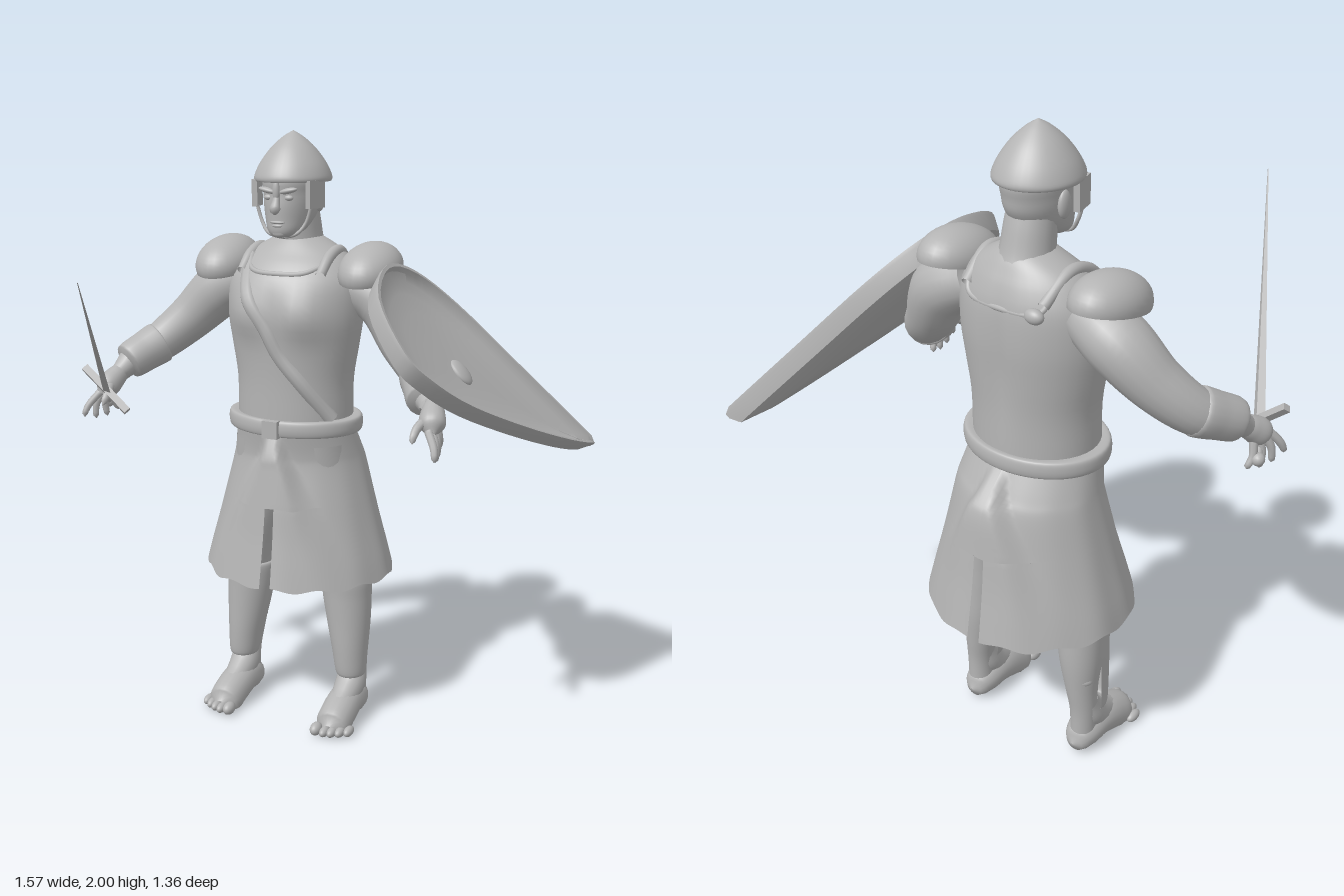
import * as THREE from 'three';
import { mergeVertices, toCreasedNormals } from 'three/addons/utils/BufferGeometryUtils.js';

const V = (x, y, z) => new THREE.Vector3(x, y, z);
const TAU = Math.PI * 2;

// Catmull-Rom sample of rows of numbers, t in 0..1
function sample(rows, t) {
  const n = rows.length - 1, f = Math.min(t, 0.99999) * n, i = Math.floor(f), k = f - i;
  const r = j => rows[Math.max(0, Math.min(n, j))];
  return rows[i].map((_, c) => {
    const a = r(i - 1)[c], b = r(i)[c], d = r(i + 1)[c], e = r(i + 2)[c];
    return b + 0.5 * k * (d - a + k * (2 * a - 5 * b + 4 * d - e + k * (3 * (b - d) + e - a)));
  });
}

// Surface from a grid of points given by fn(row, column)
function grid(nr, nc, fn) {
  const pos = [], idx = [];
  for (let i = 0; i <= nr; i++) for (let j = 0; j <= nc; j++) {
    pos.push(...fn(i / nr, j / nc));
    const a = i * (nc + 1) + j, b = a + nc + 1;
    if (i < nr && j < nc) idx.push(a, a + 1, b, a + 1, b + 1, b);
  }
  const g = new THREE.BufferGeometry();
  g.setAttribute('position', new THREE.Float32BufferAttribute(pos, 3));
  g.setIndex(idx);
  const m = mergeVertices(g, 1e-5);
  m.computeVertexNormals();
  return m;
}

// Stacked ellipses, bottom to top: rows of [y, rx, rz, cx, cz]
function loft(rows, { a0 = 0, a1 = TAU, nr = 32, nc = 40, deform = p => p } = {}) {
  return grid(nr, nc, (u, v) => {
    const [y, rx, rz, cx, cz] = sample(rows, u), a = a0 + (a1 - a0) * v;
    return deform([cx + rx * Math.sin(a), y, cz + rz * Math.cos(a)]);
  });
}

// Tube of varying radius along points [x, y, z, r]
function limb(pts, { n = 24, seg = 18, floor = -1 } = {}) {
  const curve = new THREE.CatmullRomCurve3(pts.map(p => V(p[0], p[1], p[2])));
  const g = new THREE.TubeGeometry(curve, n, 1, seg, false), p = g.attributes.position, q = V();
  for (let i = 0; i < p.count; i++) {
    const t = Math.floor(i / (seg + 1)) / n, u = curve.getUtoTmapping(t), c = curve.getPoint(u);
    const r = Math.max(0.0005, sample(pts, u)[3]);
    q.fromBufferAttribute(p, i).sub(c).multiplyScalar(r).add(c);
    p.setXYZ(i, q.x, Math.max(floor, q.y), q.z);
  }
  g.deleteAttribute('uv');
  g.deleteAttribute('normal');
  const m = mergeVertices(g, 1e-5);
  m.computeVertexNormals();
  return m;
}

export function createModel() {
  const model = new THREE.Group();
  const grey = new THREE.MeshStandardMaterial({ color: 0xb4b4b4, side: THREE.DoubleSide });
  grey.name = 'plain grey';
  const body = new THREE.Group();
  body.name = 'warrior';
  body.position.x = -0.1435;
  model.add(body);
  const add = (name, geo, parent = body) => {
    const m = new THREE.Mesh(geo, grey);
    m.name = name;
    parent.add(m);
    return m;
  };
  const ball = (name, x, y, z, sx, sy, sz, rz = 0) => {
    const m = add(name, new THREE.SphereGeometry(1, 24, 16));
    m.position.set(x, y, z);
    m.scale.set(sx, sy, sz);
    m.rotation.z = rz;
    return m;
  };

  // Torso with chest muscles and a spine groove
  const torso = [[1.03, 0.198, 0.165, 0, -0.295], [1.1, 0.199, 0.165, 0, -0.295], [1.21, 0.2, 0.165, 0, -0.295],
    [1.32, 0.218, 0.17, 0, -0.295], [1.42, 0.232, 0.175, 0, -0.295], [1.52, 0.228, 0.165, 0, -0.3],
    [1.58, 0.198, 0.138, 0, -0.31], [1.62, 0.16, 0.108, 0, -0.32], [1.65, 0.11, 0.085, 0, -0.325], [1.67, 0.07, 0.065, 0, -0.325]];
  const bump = (d, w) => Math.exp(-d * d / (w * w));
  const shape = ([x, y, z]) => {
    const d = z > -0.295 ? 0.025 * bump(Math.abs(x) - 0.1, 0.07) * bump(y - 1.43, 0.075)
      : 0.016 * bump(x, 0.03) * bump(y - 1.35, 0.2);
    return [x, y, z + d];
  };
  add('torso', loft(torso, { deform: shape }));
  const onTorso = (x, y, side) => {
    let t = 0;
    while (t < 1 && sample(torso, t)[0] < y) t += 0.005;
    const [, rx, rz, , cz] = sample(torso, t);
    return shape([x, y, cz + side * rz * Math.sqrt(Math.max(0.02, 1 - (x / rx) ** 2))])[2];
  };
  const cord = (name, pts, side, r, sink) =>
    add(name, limb(pts.map(([x, y]) => [x, y, onTorso(x, y, side) - side * sink, r]), { n: 40, seg: 10 }));
  cord('chestStrap', [[-0.14, 1.6], [-0.087, 1.475], [-0.024, 1.385], [0.019, 1.3], [0.088, 1.21], [0.167, 1.09]], 1, 0.026, 0.012);
  cord('necklineFront', [[-0.15, 1.6], [-0.09, 1.565], [0, 1.56], [0.09, 1.565], [0.15, 1.6]], 1, 0.009, 0.003);
  cord('necklineBack', [[-0.14, 1.6], [-0.12, 1.54], [0, 1.53], [0.12, 1.54], [0.14, 1.6]], -1, 0.009, 0.003);
  ball('strapKnot', -0.12, 1.54, -0.455, 0.03, 0.022, 0.02);

  // Belt and buckle
  add('belt', loft([[1.035, 0.205, 0.165, 0, -0.295], [1.036, 0.228, 0.178, 0, -0.295], [1.06, 0.234, 0.183, 0, -0.295],
    [1.086, 0.228, 0.178, 0, -0.295], [1.087, 0.198, 0.16, 0, -0.295]], { nc: 48 }));
  add('buckle', new THREE.BoxGeometry(0.055, 0.058, 0.025)).position.set(0, 1.061, -0.11);

  // Skirt halves, slit in front and behind: [y, rx, side depth, panel depth, centre z, panel half width]
  const skirt = [[0.535, 0.33, 0.288, 0.304, -0.33, 0.24], [0.6, 0.315, 0.268, 0.292, -0.33, 0.21], [0.7, 0.288, 0.242, 0.274, -0.33, 0.165],
    [0.8, 0.262, 0.22, 0.26, -0.33, 0.12], [0.92, 0.232, 0.195, 0.243, -0.33, 0.065], [0.97, 0.22, 0.182, 0.225, -0.32, 0.04],
    [1.045, 0.203, 0.167, 0.168, -0.295, 0.02]];
  for (const h of [0, 1]) {
    add('skirtHalf', grid(37, 64, (u, v) => {
      const i = Math.round(u * 37), t = (i > 18 ? i - 1 : i) / 36;
      const gap = i <= 18 ? 0.06 : 0;
      const start = (h ? Math.PI + 0.06 : 0.05) + gap, end = (h ? TAU + 0.05 : Math.PI + 0.06) - gap;
      const [y, rx, side, panel, cz, w] = sample(skirt, t), a = start + (end - start) * v;
      const x = rx * Math.sin(a), k = 1 - THREE.MathUtils.smoothstep(Math.abs(x), w * 0.7, w * 1.3);
      const f = 1 + 0.008 * (1 - t) * Math.sin(a * 9);
      return [x * f, y + 0.006 * (1 - t) * Math.sin(a * 13), cz + (side + (panel - side) * k) * f * Math.cos(a)];
    }));
  }

  // Neck, head and face
  add('neck', limb([[0, 1.56, -0.345, 0.1], [0, 1.64, -0.33, 0.08], [0, 1.72, -0.315, 0.073], [0, 1.78, -0.3, 0.07]]));
  add('head', loft([[1.672, 0.001, 0.001, 0, -0.205], [1.677, 0.034, 0.036, 0, -0.207], [1.695, 0.058, 0.07, 0, -0.23],
    [1.73, 0.074, 0.098, 0, -0.257], [1.77, 0.084, 0.114, 0, -0.272], [1.81, 0.089, 0.117, 0, -0.278],
    [1.86, 0.09, 0.118, 0, -0.28], [1.92, 0.05, 0.07, 0, -0.28]]));
  add('nose', limb([[0, 1.815, -0.165, 0.01], [0, 1.785, -0.155, 0.013], [0, 1.76, -0.148, 0.017], [0, 1.75, -0.156, 0.005]], { n: 12, seg: 10 }));
  ball('upperLip', 0, 1.722, -0.166, 0.026, 0.006, 0.012);
  ball('lowerLip', 0, 1.711, -0.168, 0.021, 0.007, 0.012);
  ball('chin', 0, 1.688, -0.178, 0.026, 0.016, 0.016);

  // Pointed helmet with rim
  add('helmet', loft([[1.845, 0.112, 0.122, 0, -0.277], [1.846, 0.121, 0.13, 0, -0.277], [1.862, 0.122, 0.131, 0, -0.277],
    [1.9, 0.105, 0.112, 0, -0.277], [1.945, 0.072, 0.077, 0, -0.277], [1.98, 0.034, 0.036, 0, -0.277], [2.0, 0.001, 0.001, 0, -0.277]]));
  ball('nasalGuard', 0, 1.82, -0.156, 0.012, 0.035, 0.01);

  for (const s of [1, -1]) {
    // Face sides and helmet cheek pieces
    ball('eye', s * 0.035, 1.798, -0.173, 0.016, 0.009, 0.01);
    ball('brow', s * 0.036, 1.82, -0.168, 0.032, 0.009, 0.013, s * 0.2);
    ball('ear', s * 0.09, 1.79, -0.285, 0.014, 0.04, 0.024);
    const cheek = add('cheekGuard', new THREE.BoxGeometry(0.018, 0.085, 0.075));
    cheek.position.set(s * 0.103, 1.808, -0.225);
    cheek.rotation.y = -s * 0.25;
    add('chinStrap', limb([[s * 0.098, 1.78, -0.21, 0.006], [s * 0.078, 1.72, -0.21, 0.006], [s * 0.05, 1.685, -0.2, 0.006], [0, 1.672, -0.2, 0.006]], { n: 14, seg: 8 }));
    add('shoulderStrap', limb([[s * 0.14, 1.56, -0.185, 0.016], [s * 0.14, 1.61, -0.25, 0.018], [s * 0.14, 1.625, -0.33, 0.018], [s * 0.13, 1.56, -0.43, 0.016]]));

    // Domed shoulder plate, open below
    const plate = add('shoulderPlate', new THREE.SphereGeometry(1, 28, 12, 0, TAU, 0, Math.PI * 0.56));
    plate.position.set(s * 0.26, 1.57, -0.31);
    plate.scale.set(0.098, 0.086, 0.143);
    plate.rotation.x = 0.2;

    // Arm, cuff and hand; the shield arm is held slightly lower
    const k = s > 0 ? 0.022 : 0;
    add('arm', limb([[s * 0.19, 1.52, -0.32, 0.08], [s * 0.3, 1.47, -0.33, 0.093], [s * 0.405 - k, 1.37 - k, -0.3, 0.079],
      [s * 0.495 - k, 1.285 - k, -0.235, 0.066], [s * 0.545 - k, 1.24 - k, -0.15, 0.05], [s * 0.565 - k * 0.5, 1.2, -0.09, 0.032]], { n: 32 }));
    add('cuff', limb([[0.485, 1.292, -0.24, 0.05], [0.49, 1.288, -0.235, 0.071], [0.52, 1.262, -0.185, 0.068],
      [0.552, 1.232, -0.125, 0.06], [0.555, 1.229, -0.12, 0.03]].map(([x, y, z, r]) => [s * x - k, y - k, z, r])));
    add('palm', limb([[s * 0.557, 1.215, -0.115, 0.025], [s * 0.57, 1.19, -0.075, 0.036], [s * 0.583, 1.16, -0.035, 0.04], [s * 0.592, 1.135, -0.01, 0.012]]));
    for (let i = 0; i < 4; i++) {
      const z = 0.012 - i * 0.025, dz = 0.032 - i * 0.022, up = i % 3 ? 0 : 0.014;
      add('finger', limb([[s * 0.585, 1.15, z - 0.01, 0.013], [s * (0.615 - i * 0.008), 1.105, z + dz * 0.6, 0.012],
        [s * (0.622 - i * 0.013), 1.062 + up, z + dz, 0.009], [s * (0.621 - i * 0.013), 1.055 + up, z + dz, 0.001]], { n: 10, seg: 8 }));
    }
    add('thumb', limb([[s * 0.57, 1.18, -0.05, 0.015], [s * 0.55, 1.155, 0.005, 0.014], [s * 0.548, 1.125, 0.035, 0.01], [s * 0.549, 1.115, 0.04, 0.001]], { n: 10, seg: 8 }));

    // Leg, greave and its strap
    add('leg', loft([[0.06, 0.04, 0.045, s * 0.21, -0.338], [0.16, 0.042, 0.046, s * 0.21, -0.338], [0.25, 0.05, 0.054, s * 0.203, -0.34],
      [0.36, 0.066, 0.07, s * 0.195, -0.334], [0.48, 0.074, 0.077, s * 0.186, -0.327], [0.6, 0.085, 0.09, s * 0.17, -0.315],
      [0.78, 0.1, 0.11, s * 0.125, -0.305], [1.0, 0.105, 0.13, s * 0.1, -0.295]]));
    add('greave', loft([[0.165, 0.035, 0.04, s * 0.211, -0.305], [0.167, 0.051, 0.058, s * 0.211, -0.305], [0.25, 0.062, 0.07, s * 0.205, -0.31],
      [0.36, 0.077, 0.08, s * 0.195, -0.318], [0.45, 0.086, 0.085, s * 0.187, -0.321], [0.515, 0.088, 0.087, s * 0.184, -0.321], [0.52, 0.07, 0.07, s * 0.184, -0.321]],
    { a0: -1.75, a1: 1.75, nc: 28 }));
    ball('greaveStrap', s * 0.2, 0.3, -0.355, 0.055, 0.03, 0.04);

    // Bare foot and toes
    add('foot', limb([[s * 0.208, 0.045, -0.396, 0.004], [s * 0.208, 0.045, -0.38, 0.036], [s * 0.208, 0.06, -0.335, 0.055], [s * 0.208, 0.068, -0.27, 0.06],
      [s * 0.21, 0.048, -0.2, 0.061], [s * 0.211, 0.024, -0.145, 0.056], [s * 0.211, 0.02, -0.115, 0.02]], { floor: 0 }));
    add('instep', limb([[s * 0.21, 0.19, -0.335, 0.044], [s * 0.21, 0.13, -0.31, 0.052], [s * 0.21, 0.09, -0.25, 0.046], [s * 0.211, 0.06, -0.18, 0.035], [s * 0.211, 0.04, -0.14, 0.01]]));
    for (let i = 0; i < 5; i++) {
      const r = i ? 0.017 : 0.022;
      ball('toe', s * (0.17 + i * 0.0245 + (i ? 0.006 : 0)), r + 0.002, -0.108 - i * i * 0.0025, r * 0.9, r, 0.03);
    }
  }

  // Sword, built upright and then aimed
  const sword = new THREE.Group();
  sword.name = 'sword';
  const hilt = V(-0.695, 1.165, 0.015), tip = V(-0.31, 1.632, 0.678);
  const along = tip.clone().sub(hilt), length = along.length();
  along.normalize();
  const out = along.clone().cross(V(0, 0, 1)).normalize();
  sword.quaternion.setFromRotationMatrix(new THREE.Matrix4().makeBasis(out, along, out.clone().cross(along)));
  sword.position.copy(hilt);
  model.add(sword);
  const blade = add('blade', toCreasedNormals(new THREE.CylinderGeometry(0.002, 0.023, length, 4).scale(1, 1, 0.5), 0.3), sword);
  blade.position.y = length / 2;
  add('crossGuard', new THREE.BoxGeometry(0.21, 0.02, 0.024), sword);
  add('grip', new THREE.CylinderGeometry(0.012, 0.012, 0.12, 12), sword).position.y = -0.06;
  add('pommel', new THREE.SphereGeometry(0.02, 14, 10), sword).position.y = -0.125;

  // Shield: dished shell, outline from the tip as [down the slope, z, depth]
  const outline = [[0.818, -0.672, 0.055], [0.832, -0.66, 0], [0.77, -0.496, 0], [0.65, -0.257, 0], [0.505, -0.02, 0], [0.384, 0.098, 0],
    [0.275, 0.135, 0], [0.09, 0.04, 0], [0, -0.167, 0], [0.046, -0.326, 0], [0.2, -0.443, 0], [0.47, -0.55, 0], [0.805, -0.678, 0], [0.818, -0.672, 0.055]];
  const place = (s, z, d) => [0.23 + 0.67 * s - 0.74 * d, 1.61 - 0.74 * s - 0.67 * d, z];
  const rings = [[0, 0.062], [0.35, 0.06], [0.6, 0.055], [0.78, 0.046], [0.9, 0.033], [0.955, 0.018], [0.97, 0.001], [1, 0],
    [1, 0.012], [0.96, 0.06], [0.8, 0.08], [0.4, 0.082], [0, 0.082]];
  const shell = grid(rings.length - 1, 52, (u, v) => {
    const [f, d] = rings[Math.round(u * (rings.length - 1))], [s, z, d0] = sample(outline, v);
    return place(0.393 + (s - 0.393) * f, -0.26 + (z + 0.26) * f, Math.max(d, d0 * f ** 4));
  });
  add('shield', toCreasedNormals(shell, 0.6), model);
  const boss = add('shieldBoss', new THREE.SphereGeometry(1, 20, 14), model);
  boss.position.set(...place(0.393, -0.26, 0.061));
  boss.scale.set(0.016, 0.048, 0.042);
  boss.rotation.z = Math.atan2(0.67, 0.74);
  // Strap holding the shield to the arm
  add('shieldGrip', limb([[...place(0.35, -0.2, 0.08), 0.018], [0.3, 1.26, -0.24, 0.022]], { n: 8, seg: 10 }), model);
  return model;
}
